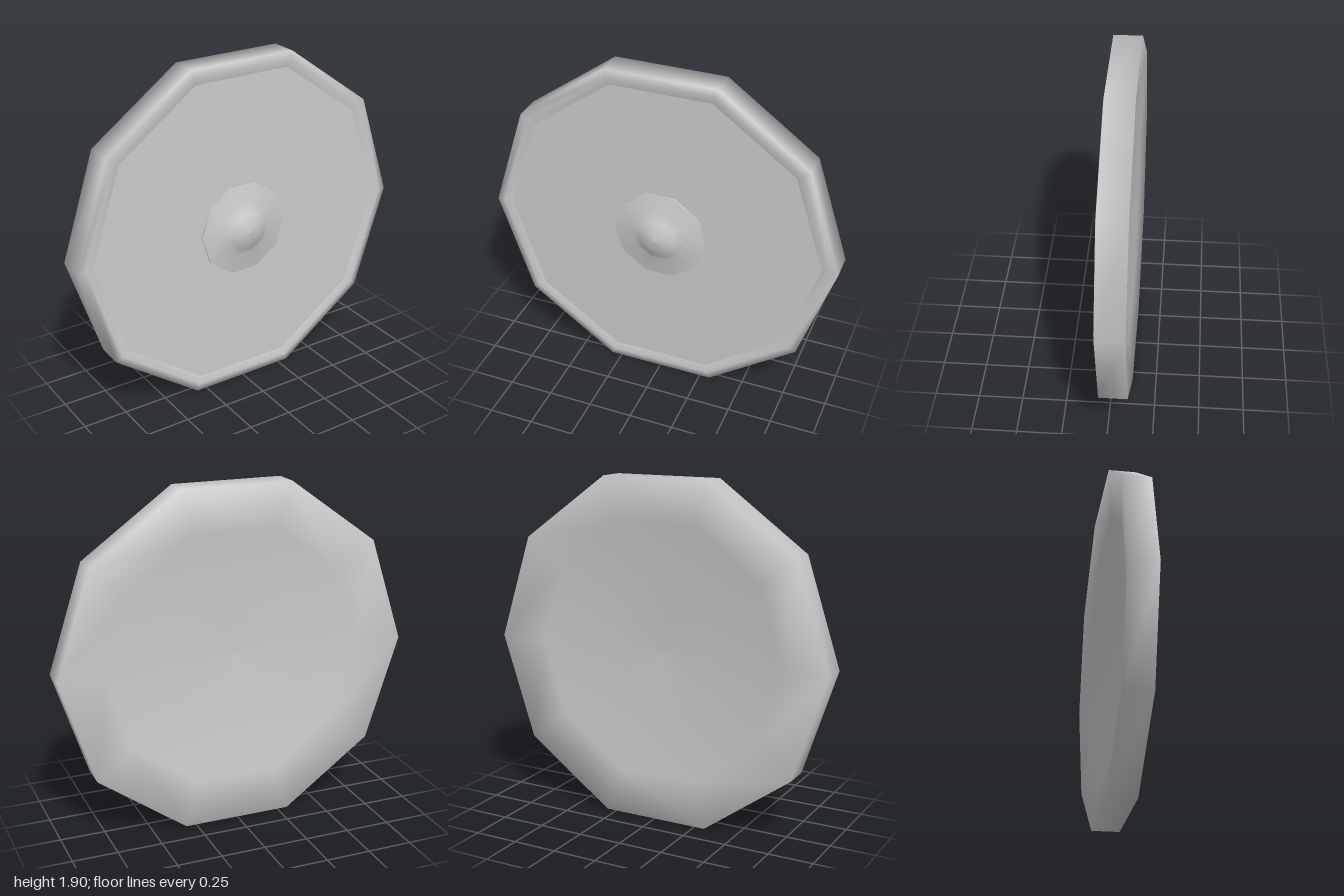
import * as THREE from 'three';

const SIDES = 10;
const CENTRE_Y = Math.sin(Math.PI * 0.4); // lowest flat edge rests on y = 0

// Ten-sided smooth turning about the z axis; profile points are [radius, z], back to front
function turned(name, profile, material) {
  const points = profile.map(([r, z]) => new THREE.Vector2(r, z));
  const geometry = new THREE.LatheGeometry(points, SIDES, Math.PI / 2);
  geometry.rotateX(Math.PI / 2);
  const mesh = new THREE.Mesh(geometry, material);
  mesh.name = name;
  mesh.position.y = CENTRE_Y;
  return mesh;
}

export function createModel() {
  const group = new THREE.Group();
  group.name = 'shield';
  const grey = new THREE.MeshStandardMaterial({ color: 0xcccccc });

  // Hollowed back, side wall and rounded front rim
  group.add(turned('shieldBody', [
    [0, -0.04], [0.4, -0.055], [0.74, -0.085], [1, -0.115],
    [1, 0.04], [0.955, 0.045], [0.91, 0.033],
  ], grey));

  // Flat front face inside the rim
  group.add(turned('frontPanel', [[0.91, 0.033], [0.45, 0.035], [0, 0.036]], grey));

  // Central boss: thin collar with a domed middle
  group.add(turned('boss', [
    [0.265, 0.034], [0.265, 0.05], [0.16, 0.055],
    [0.11, 0.088], [0.05, 0.108], [0, 0.115],
  ], grey));

  return group;
}
